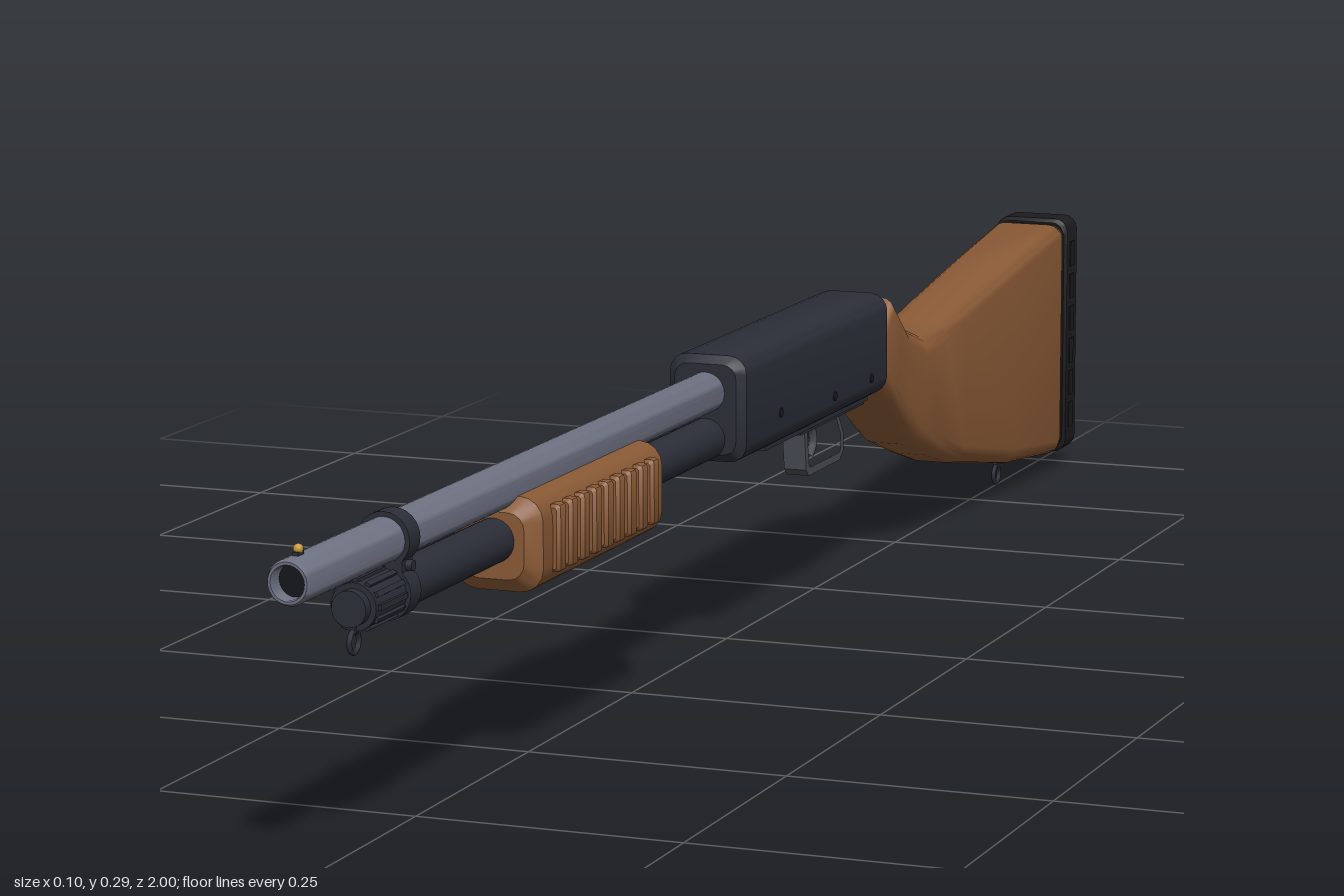
import * as THREE from 'three';
import { toCreasedNormals } from 'three/addons/utils/BufferGeometryUtils.js';

const mat = (color, side = THREE.FrontSide) => new THREE.MeshStandardMaterial({ color, side });
const WOOD = mat(0x8a5a36), STEEL = mat(0x6c7080), DARK = mat(0x2b2e38), BLACK = mat(0x1c1c1f);
const GREY = mat(0x4a4d55), BRASS = mat(0xc89a3c), BORE = mat(0x15161a);

// Lofts rounded-rectangle sections running from front to back.
// Section: [zTop, yTop, zBottom, yBottom, halfWidth, cornerRadius]
function loft(sections, crease = 0.7) {
  const pos = [], idx = [], corners = [[1, 1], [-1, 1], [-1, -1], [1, -1]], N = 20;
  for (const [zt, yt, zb, yb, w, r] of sections) {
    const h = (yt - yb) / 2, cy = (yt + yb) / 2;
    corners.forEach(([sx, sy], q) => {
      for (let i = 0; i < 5; i++) {
        const a = (q + i / 4) * Math.PI / 2;
        const y = cy + sy * (h - r) + r * Math.sin(a);
        const t = (y - yb) / (yt - yb);
        pos.push(sx * (w - r) + r * Math.cos(a), y, zb + (zt - zb) * t);
      }
    });
  }
  const last = (sections.length - 1) * N;
  for (let s = 0; s < last; s += N) {
    for (let i = 0; i < N; i++) {
      const a = s + i, b = s + (i + 1) % N;
      idx.push(a, a + N, b, b, a + N, b + N);
    }
  }
  for (let i = 1; i < N - 1; i++) idx.push(0, i, i + 1, last, last + i + 1, last + i);
  const g = new THREE.BufferGeometry();
  g.setAttribute('position', new THREE.Float32BufferAttribute(pos, 3));
  g.setIndex(idx);
  return toCreasedNormals(g, crease);
}

// Rounded bar along z with bevelled ends
function bar(z0, z1, y0, y1, w, r, b) {
  const sec = (z, d) => [z, y1 - d, z, y0 + d, w - d, r - d * 0.5];
  return loft([sec(z0, b), sec(z0 - b, 0), sec(z1 + b, 0), sec(z1, b)]);
}

export function createModel() {
  const model = new THREE.Group();
  const add = (name, geo, material, x = 0, y = 0, z = 0) => {
    const m = new THREE.Mesh(geo, material);
    m.name = name;
    m.position.set(x, y, z);
    model.add(m);
    return m;
  };
  const box = (name, w, h, d, material, x, y, z) => add(name, new THREE.BoxGeometry(w, h, d), material, x, y, z);
  const rod = (name, r, z0, z1, y, material, seg = 24) =>
    add(name, new THREE.CylinderGeometry(r, r, z0 - z1, seg).rotateX(Math.PI / 2), material, 0, y, (z0 + z1) / 2);

  // Barrel with open muzzle
  const barrelProfile = [[0.02, 0.04], [0.02, 0.996], [0.018, 1], [0.0155, 1], [0.0145, 0.997], [0.0145, 0.9]]
    .map(([r, z]) => new THREE.Vector2(r, z));
  const tube = new THREE.LatheGeometry(barrelProfile, 32).rotateX(Math.PI / 2);
  add('barrel', toCreasedNormals(tube, 0.6), STEEL, 0, 0.257, 0);
  add('bore', new THREE.CircleGeometry(0.0148, 24), BORE, 0, 0.257, 0.985);
  add('frontBead', new THREE.SphereGeometry(0.0045, 12, 8), BRASS, 0, 0.282, 0.978);
  box('beadBase', 0.005, 0.006, 0.012, DARK, 0, 0.277, 0.978);

  // Tube below the barrel, with ribbed end cap
  rod('magazineTube', 0.0205, 0.8, 0.04, 0.211, DARK);
  rod('tubeCap', 0.021, 0.872, 0.795, 0.211, DARK);
  rod('tubeCapTip', 0.016, 0.882, 0.87, 0.211, DARK);
  for (let i = 0; i < 12; i++) {
    const a = i * Math.PI / 6;
    const rib = box('capRib', 0.005, 0.005, 0.055, DARK, Math.cos(a) * 0.021, 0.211 + Math.sin(a) * 0.021, 0.84);
    rib.rotation.z = a;
  }

  // Clamp joining barrel and tube
  for (const [y, r] of [[0.257, 0.0245], [0.211, 0.025]]) rod('clampRing', r, 0.81, 0.788, y, DARK);
  box('clampWeb', 0.034, 0.04, 0.022, DARK, 0, 0.234, 0.799);
  for (const s of [-1, 1]) {
    add('clampScrew', new THREE.CylinderGeometry(0.005, 0.005, 0.006, 12).rotateZ(Math.PI / 2), DARK, s * 0.02, 0.234, 0.799);
  }

  // Sliding fore-end with grip ribs
  add('foreEnd', bar(0.577, 0.266, 0.163, 0.25, 0.043, 0.022, 0.013), WOOD);
  for (const s of [-1, 1]) {
    for (let i = 0; i < 9; i++) {
      add('gripRib', bar(0.009, -0.009, 0.178, 0.24, 0.006, 0.004, 0.003), WOOD, s * 0.0435, 0, 0.533 - i * 0.028);
    }
  }

  // Receiver
  add('receiver', bar(0.058, -0.365, 0.188, 0.293, 0.04, 0.018, 0.008), DARK);
  box('ejectionPort', 0.003, 0.04, 0.115, BLACK, -0.0402, 0.25, -0.075);
  box('receiverFloor', 0.05, 0.008, 0.3, DARK, 0, 0.187, -0.19);
  for (const [y, z] of [[0.212, -0.2], [0.212, -0.31], [0.222, -0.045]]) {
    add('pin', new THREE.CylinderGeometry(0.005, 0.005, 0.082, 12).rotateZ(Math.PI / 2), BLACK, 0, y, z);
  }

  // Trigger group
  box('triggerPlate', 0.032, 0.014, 0.19, DARK, 0, 0.183, -0.26);
  const guard = new THREE.Shape([[-0.187, 0.178], [-0.193, 0.135], [-0.2, 0.128], [-0.293, 0.128], [-0.303, 0.136],
    [-0.303, 0.155], [-0.287, 0.178]].map(([z, y]) => new THREE.Vector2(z, y)));
  guard.holes.push(new THREE.Path([[-0.196, 0.174], [-0.201, 0.14], [-0.205, 0.136], [-0.29, 0.136], [-0.295, 0.14],
    [-0.295, 0.153], [-0.281, 0.174]].map(([z, y]) => new THREE.Vector2(z, y))));
  const guardGeo = new THREE.ExtrudeGeometry(guard, { depth: 0.024, bevelEnabled: false });
  add('triggerGuard', guardGeo.translate(0, 0, -0.012).rotateY(-Math.PI / 2), GREY);
  const triggerPath = new THREE.CatmullRomCurve3([[0.18, -0.232], [0.165, -0.243], [0.152, -0.244], [0.141, -0.233]]
    .map(([y, z]) => new THREE.Vector3(0, y, z)));
  add('trigger', new THREE.TubeGeometry(triggerPath, 12, 0.0045, 8), GREY);

  // Stock: wrist, swept belly and butt
  add('stock', loft([
    [-0.36, 0.25, -0.36, 0.2, 0.034, 0.014],
    [-0.392, 0.283, -0.368, 0.19, 0.037, 0.016],
    [-0.412, 0.268, -0.395, 0.17, 0.037, 0.018],
    [-0.44, 0.245, -0.43, 0.142, 0.037, 0.02],
    [-0.505, 0.225, -0.475, 0.112, 0.036, 0.02],
    [-0.56, 0.232, -0.545, 0.088, 0.036, 0.02],
    [-0.63, 0.243, -0.62, 0.066, 0.037, 0.019],
    [-0.79, 0.264, -0.79, 0.035, 0.039, 0.017],
    [-0.94, 0.282, -0.94, 0.02, 0.041, 0.015],
    [-0.948, 0.28, -0.948, 0.022, 0.04, 0.015],
  ], 0.6), WOOD);

  // Butt pad and spacer
  add('spacer', bar(-0.945, -0.962, 0.023, 0.28, 0.039, 0.014, 0.002), BLACK);
  add('buttPad', bar(-0.957, -1, 0.018, 0.286, 0.042, 0.015, 0.004), BLACK);
  for (const s of [-1, 1]) {
    for (let i = 0; i < 6; i++) box('padRib', 0.002, 0.028, 0.014, BLACK, s * 0.042, 0.06 + i * 0.037, -0.978);
  }

  // Sling loops
  for (const [y, z, top] of [[0.181, 0.872, 0.2], [0.012, -0.84, 0.032]]) {
    add('slingLoop', new THREE.TorusGeometry(0.0095, 0.0025, 8, 20).rotateY(Math.PI / 2), DARK, 0, y, z);
    box('slingStud', 0.005, top - y - 0.008, 0.006, DARK, 0, (top + y + 0.008) / 2, z);
  }
  return model;
}
